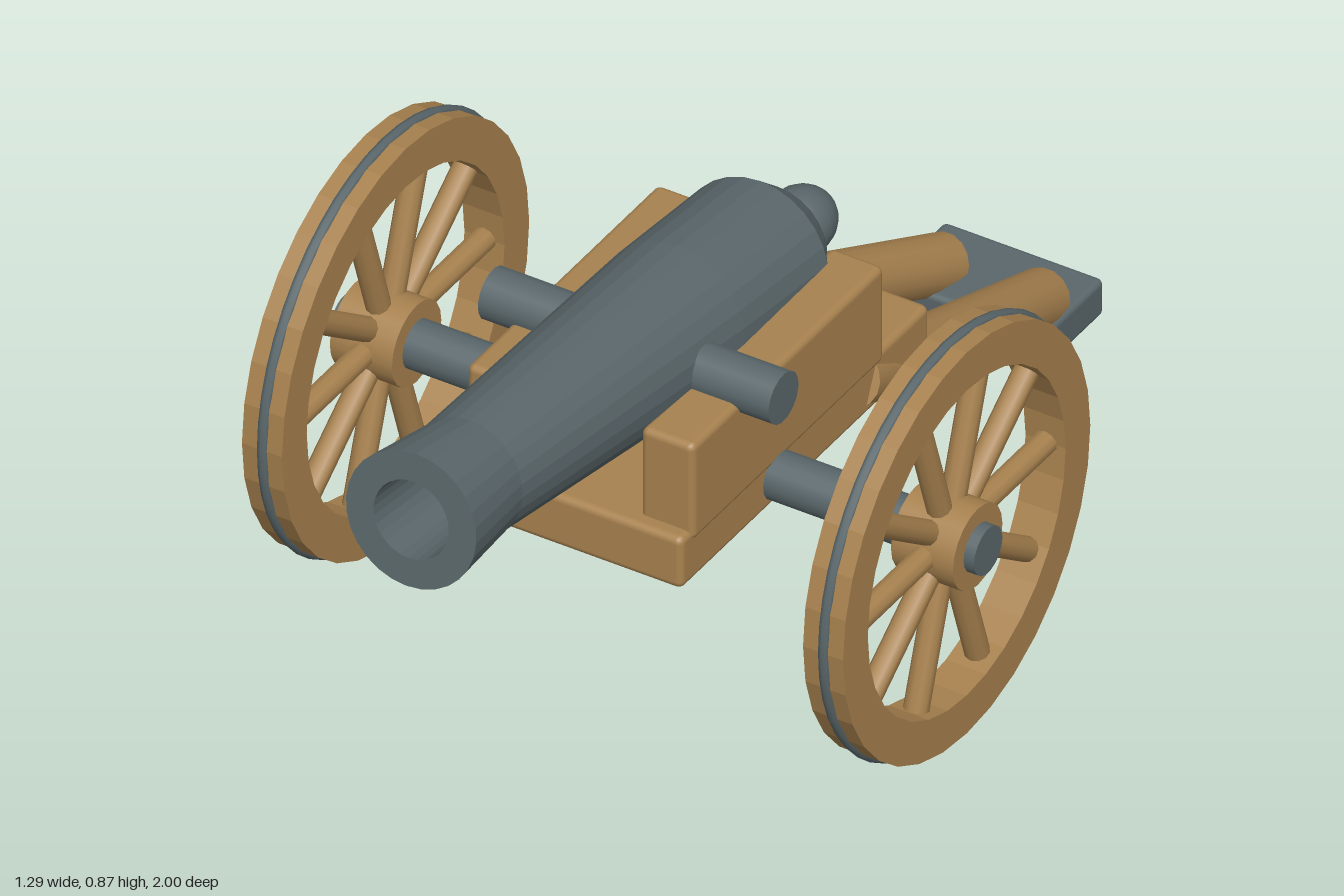
import * as THREE from 'three';
import { RoundedBoxGeometry } from 'three/addons/geometries/RoundedBoxGeometry.js';

const wood = new THREE.MeshStandardMaterial({ color: 0xa8824f });
wood.name = 'wood';
const iron = new THREE.MeshStandardMaterial({ color: 0x5a676b });
iron.name = 'iron';

function add(parent, name, geometry, material, x = 0, y = 0, z = 0) {
  const mesh = new THREE.Mesh(geometry, material);
  mesh.name = name;
  mesh.position.set(x, y, z);
  parent.add(mesh);
  return mesh;
}

// Rounded box given by its lower and upper corners
function block(parent, name, material, min, max, radius) {
  const size = max.map((v, i) => v - min[i]);
  const centre = max.map((v, i) => (v + min[i]) / 2);
  return add(parent, name, new RoundedBoxGeometry(...size, 2, radius), material, ...centre);
}

// Round bar between two points
function rod(parent, name, material, from, to, radius, sides = 16) {
  const a = new THREE.Vector3(...from);
  const b = new THREE.Vector3(...to);
  const mesh = add(parent, name, new THREE.CylinderGeometry(radius, radius, a.distanceTo(b), sides), material);
  mesh.position.copy(a).add(b).multiplyScalar(0.5);
  mesh.quaternion.setFromUnitVectors(new THREE.Vector3(0, 1, 0), b.sub(a).normalize());
  return mesh;
}

// Faceted turned shape; points are [radius, height]
function turned(points, sides) {
  const geometry = new THREE.LatheGeometry(points.map(p => new THREE.Vector2(...p)), sides).toNonIndexed();
  geometry.computeVertexNormals();
  return geometry;
}

// Wheel around the x axis
function makeWheel() {
  const wheel = new THREE.Group();
  wheel.name = 'wheel';
  const ring = [[0.32, -0.04], [0.4, -0.04], [0.4, 0.04], [0.32, 0.04], [0.32, -0.04]];
  add(wheel, 'rim', turned(ring, 32), wood).rotation.z = Math.PI / 2;
  add(wheel, 'tyreBand', new THREE.TorusGeometry(0.396, 0.011, 8, 48), iron).rotation.y = Math.PI / 2;
  rod(wheel, 'hub', wood, [-0.062, 0, 0], [0.062, 0, 0], 0.08, 20);
  for (let i = 0; i < 10; i++) {
    const a = (i / 10) * Math.PI * 2;
    const at = r => [0, Math.sin(a) * r, Math.cos(a) * r];
    rod(wheel, 'spoke', wood, at(0.05), at(0.335), 0.023, 10);
  }
  return wheel;
}

export function createModel() {
  const cannon = new THREE.Group();
  cannon.name = 'cannon';

  // Barrel, hung from the muzzle centre and tilted upwards
  const barrel = new THREE.Group();
  barrel.name = 'barrel';
  barrel.position.set(0, 0.74, 0.985);
  barrel.rotation.x = Math.PI / 2 - 0.119;
  cannon.add(barrel);
  add(barrel, 'barrelTube', turned([
    [0, -1.185], [0.105, -1.185], [0.147, -1.12], [0.145, -0.85], [0.112, -0.18],
    [0.13, 0], [0.075, 0], [0.068, -0.28], [0, -0.3],
  ], 28), iron);
  add(barrel, 'breechKnob', new THREE.SphereGeometry(0.063, 20, 14), iron, 0, -1.264, 0).scale.y = 1.25;
  rod(barrel, 'trunnion', iron, [-0.29, -0.74, 0], [0.29, -0.74, 0], 0.049);

  // Carriage bed, cheeks and axle
  block(cannon, 'carriageBed', wood, [-0.222, 0.355, -0.335], [0.222, 0.462, 0.47], 0.014);
  rod(cannon, 'axle', iron, [-0.643, 0.41, 0.16], [0.643, 0.41, 0.16], 0.046, 18);

  for (const side of [-1, 1]) {
    const cheek = block(cannon, 'cheek', wood, [0.12, 0.44, -0.18], [0.227, 0.642, 0.44], 0.014);
    cheek.position.x *= side;

    const wheel = makeWheel();
    wheel.position.set(side * 0.56, 0.41, 0.16);
    cannon.add(wheel);

    // Trail leg running down to the foot
    rod(cannon, 'trailLeg', wood, [side * 0.183, 0.412, -0.14], [side * 0.098, 0.08, -0.893], 0.055);
  }

  // Trail cross bar and foot
  rod(cannon, 'trailCrossBar', wood, [-0.12, 0.28, -0.44], [0.12, 0.28, -0.44], 0.033);
  block(cannon, 'trailFoot', iron, [-0.16, 0.006, -1], [0.16, 0.082, -0.803], 0.012);

  return cannon;
}
